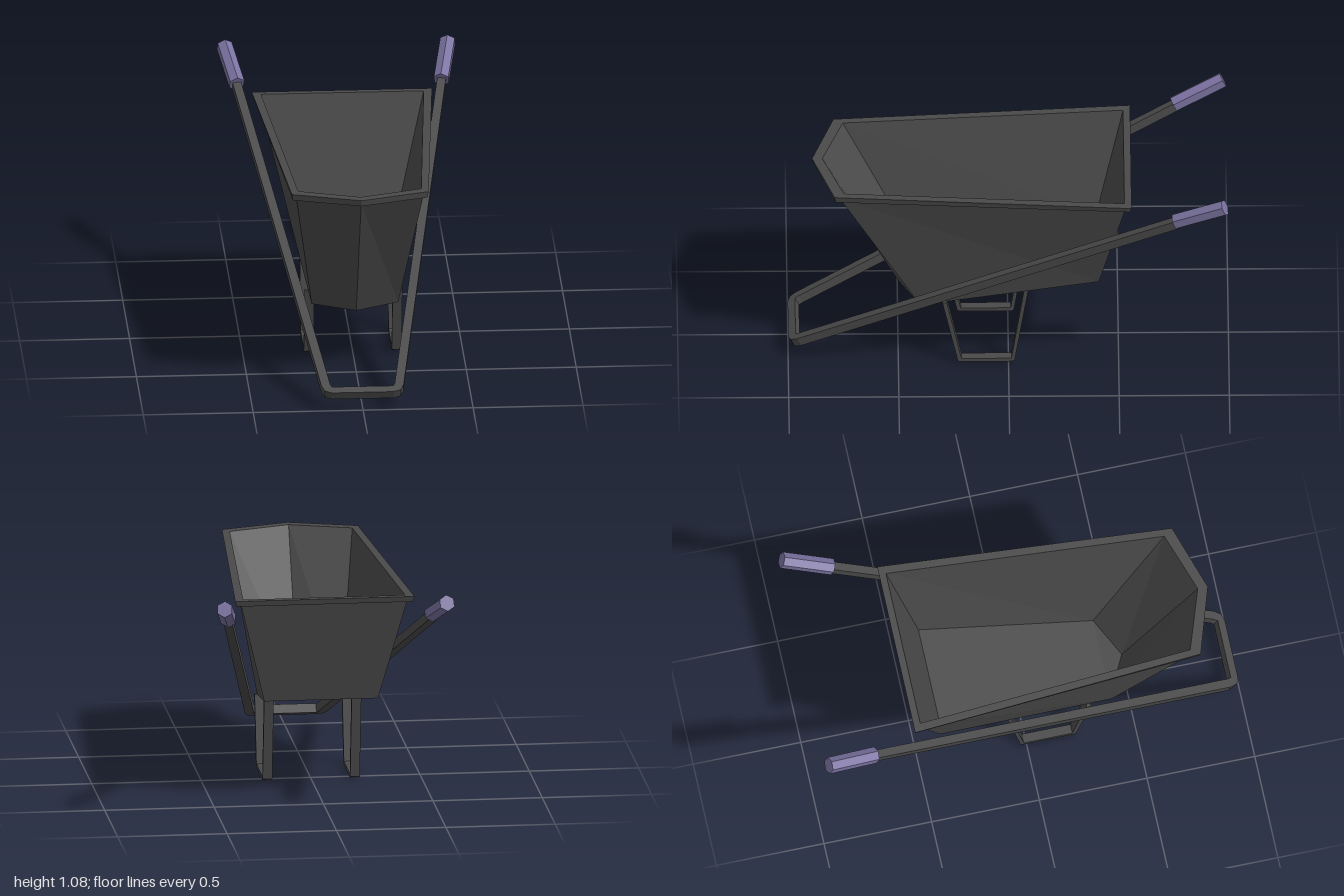
import * as THREE from 'three';

const metal = new THREE.MeshStandardMaterial({ name: 'darkMetal', color: 0x4a4a4a });
const rubber = new THREE.MeshStandardMaterial({ name: 'purpleGrip', color: 0x7a72a0 });

function add(group, name, geometry, material) {
  const mesh = new THREE.Mesh(geometry, material);
  mesh.name = name;
  group.add(mesh);
  return mesh;
}

// Five-sided ring: straight back, tapering sides, pointed nose
function ring(xBack, zBack, yBack, xFront, zFront, zNose, yFront) {
  return [
    [-xBack, yBack, zBack], [xBack, yBack, zBack], [xFront, yFront, zFront],
    [0, yFront, zNose], [-xFront, yFront, zFront],
  ];
}

// Tray: rings run from the outer floor up over the rim and down to the inner floor
function trayGeometry() {
  const rings = [
    ring(0.26, -0.41, 0.465, 0.197, 0.40, 0.50, 0.297),
    ring(0.38, -0.53, 0.95, 0.29, 0.765, 0.858, 0.95),
    ring(0.402, -0.55, 0.947, 0.306, 0.785, 0.882, 0.943),
    ring(0.41, -0.557, 0.973, 0.311, 0.79, 0.89, 0.973),
    ring(0.37, -0.525, 0.973, 0.28, 0.748, 0.843, 0.973),
    ring(0.25, -0.40, 0.475, 0.187, 0.397, 0.49, 0.307),
  ];
  const out = [];
  const tri = (a, b, c) => out.push(...a, ...b, ...c);
  for (let r = 0; r < rings.length - 1; r++) {
    const lo = rings[r], hi = rings[r + 1];
    for (let i = 0; i < 5; i++) {
      const j = (i + 1) % 5;
      tri(lo[i], hi[i], hi[j]);
      tri(lo[i], hi[j], lo[j]);
    }
  }
  const under = rings[0], inside = rings[rings.length - 1];
  for (const [a, b, c] of [[0, 4, 2], [0, 2, 1], [4, 3, 2]]) {
    tri(inside[a], inside[b], inside[c]);
    tri(under[c], under[b], under[a]);
  }
  const geometry = new THREE.BufferGeometry();
  geometry.setAttribute('position', new THREE.Float32BufferAttribute(out, 3));
  geometry.computeVertexNormals();
  return geometry;
}

// Flat outline extruded evenly about its own plane
function bar(points, depth) {
  const shape = new THREE.Shape(points.map(([x, y]) => new THREE.Vector2(x, y)));
  return new THREE.ExtrudeGeometry(shape, { depth, bevelEnabled: false }).translate(0, 0, -depth / 2);
}

export function createModel() {
  const group = new THREE.Group();
  group.name = 'wheelbarrow';

  add(group, 'tray', trayGeometry(), metal);

  // U-shaped handle frame lying in a tilted plane
  const half = [[0.14, 0], [0.172, 0.012], [0.187, 0.045], [0.487, 1.96], [0.447, 1.96], [0.147, 0.055], [0.14, 0.037]];
  const mirrored = half.map(([x, y]) => [-x, y]).reverse();
  const frame = add(group, 'handleFrame', bar([...half, ...mirrored], 0.042), metal);
  frame.rotation.x = -1.112;
  frame.position.set(0, 0.0675, 0.99);

  for (const side of [1, -1]) {
    const label = side > 0 ? 'left' : 'right';

    // Six-sided grip along the end of each handle
    const start = new THREE.Vector3(side * 0.465, 0.94, -0.755);
    const end = new THREE.Vector3(side * 0.508, 1.044, -0.98);
    const gripGeometry = new THREE.CylinderGeometry(0.038, 0.038, start.distanceTo(end), 6)
      .rotateX(Math.PI / 2).toNonIndexed();
    gripGeometry.computeVertexNormals();
    const grip = add(group, label + 'Grip', gripGeometry, rubber);
    grip.position.copy(start).lerp(end, 0.5);
    grip.lookAt(end);

    // Bent strip leg, drawn in z and y
    const leg = add(group, label + 'Leg', bar([
      [0.30, 0.325], [0.23, 0.005], [0.222, 0], [-0.02, 0], [-0.028, 0.005], [-0.092, 0.405],
      [-0.073, 0.405], [-0.013, 0.017], [0.213, 0.017], [0.28, 0.325],
    ], 0.044), metal);
    leg.rotation.y = -Math.PI / 2;
    leg.position.x = side * 0.2;
  }
  return group;
}
